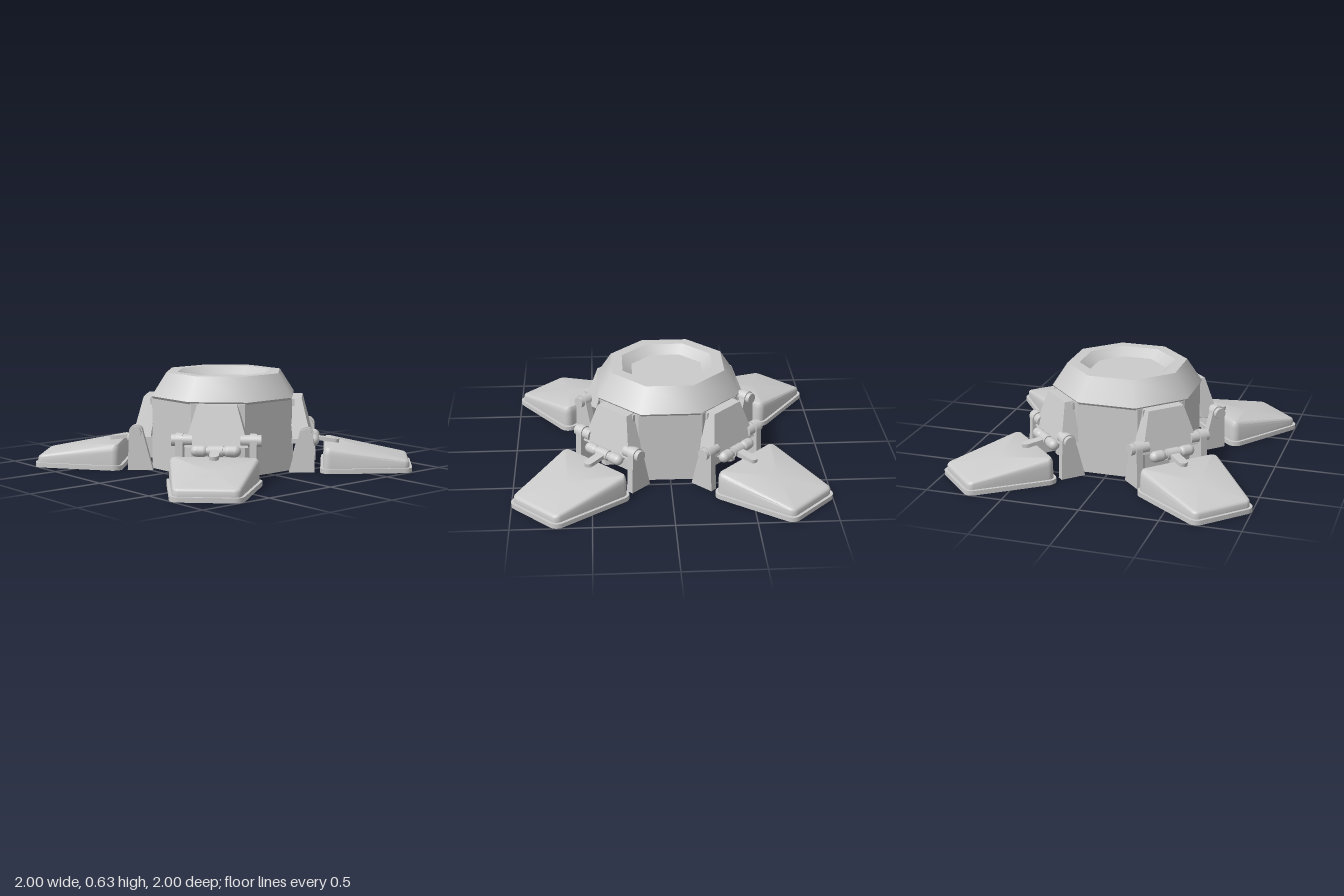
import * as THREE from 'three';
import { toCreasedNormals } from 'three/addons/utils/BufferGeometryUtils.js';

const material = new THREE.MeshStandardMaterial({ color: 0xcccccc });

function add(parent, name, geometry, x = 0, y = 0, z = 0) {
  const mesh = new THREE.Mesh(geometry, material);
  mesh.name = name;
  mesh.position.set(x, y, z);
  parent.add(mesh);
  return mesh;
}

// Eight-sided band between [apothem, height] points, flat sides facing the axes
function octagonBand(points) {
  const profile = points.map(([a, y]) => new THREE.Vector2(a / Math.cos(Math.PI / 8), y));
  return new THREE.LatheGeometry(profile, 8, Math.PI / 8);
}

// Box whose bottom and top rectangles differ: [xMin, xMax, halfWidth, y]
function taperedBox(bottom, top) {
  const geometry = new THREE.BoxGeometry(1, 1, 1);
  const p = geometry.attributes.position;
  for (let i = 0; i < p.count; i++) {
    const [x0, x1, w, y] = p.getY(i) < 0 ? bottom : top;
    p.setXYZ(i, p.getX(i) < 0 ? x0 : x1, y, Math.sign(p.getZ(i)) * w);
  }
  const flat = geometry.toNonIndexed();
  flat.computeVertexNormals();
  return flat;
}

function extrude(shape, depth) {
  return new THREE.ExtrudeGeometry(shape, { depth, bevelEnabled: false, curveSegments: 10 });
}

// Octagonal column with a shallow notch in each diagonal side
function bodyGeometry() {
  const points = [];
  const d = Math.SQRT1_2;
  for (let k = 0; k < 4; k++) {
    const angle = Math.PI / 4 + k * Math.PI / 2;
    for (const [u, v] of [[0.453, -0.17], [0.453, -0.13], [0.405, -0.09], [0.405, 0.09], [0.453, 0.13], [0.453, 0.17]]) {
      points.push(new THREE.Vector2(u, v).rotateAround(new THREE.Vector2(), angle));
    }
  }
  return extrude(new THREE.Shape(points), 0.465).rotateX(-Math.PI / 2);
}

// Rounded wedge foot: stacked outlines, each inset from the base outline
function footGeometry() {
  const side = Math.atan2(0.47, 0.075);
  const corners = [
    [1.17, 0.16, 0, side], [0.7, 0.235, side, Math.PI],
    [0.7, -0.235, Math.PI, 2 * Math.PI - side], [1.17, -0.16, -side, 0],
  ];
  const slope = (u) => 0.172 - 0.176 * (u - 0.66);
  const wall = (t) => (u) => 0.03 + (slope(u) - 0.03) * t;
  const levels = [
    [0, () => 0], [0, () => 0.03], [0.018, () => 0.03], [0.018, wall(0.65)],
    [0.022, wall(0.85)], [0.03, wall(0.96)], [0.042, wall(1)],
  ];
  const steps = 6;
  const n = corners.length * (steps + 1);
  const positions = [];
  const index = [];
  for (const [inset, height] of levels) {
    for (const [cu, cw, a0, a1] of corners) {
      for (let s = 0; s <= steps; s++) {
        const a = a0 + (a1 - a0) * s / steps;
        const u = cu + (0.06 - inset) * Math.cos(a);
        positions.push(u, height(u), cw + (0.06 - inset) * Math.sin(a));
      }
    }
  }
  const base = levels.length * n;
  positions.push(0.93, 0, 0, 0.93, slope(0.93), 0);
  for (let i = 0; i < n; i++) {
    const j = (i + 1) % n;
    for (let k = 0; k < levels.length - 1; k++) {
      const a = k * n;
      const b = a + n;
      index.push(a + i, b + i, a + j, a + j, b + i, b + j);
    }
    const top = (levels.length - 1) * n;
    index.push(base, i, j, base + 1, top + j, top + i);
  }
  const geometry = new THREE.BufferGeometry();
  geometry.setAttribute('position', new THREE.Float32BufferAttribute(positions, 3));
  geometry.setIndex(index);
  return toCreasedNormals(geometry, 0.7);
}

// Upright hinge plate with a rounded top
function bracketGeometry() {
  const shape = new THREE.Shape();
  shape.moveTo(0.44, 0);
  shape.lineTo(0.605, 0);
  shape.lineTo(0.595, 0.25);
  shape.absarc(0.55, 0.25, 0.045, 0, Math.PI, false);
  shape.closePath();
  return extrude(shape, 0.045).translate(0, 0, -0.0225);
}

// Rounded tongue lying on the foot
function tabGeometry() {
  const shape = new THREE.Shape();
  shape.moveTo(0, -0.03);
  shape.lineTo(0.13, -0.03);
  shape.absarc(0.13, 0, 0.03, -Math.PI / 2, Math.PI / 2, false);
  shape.lineTo(0, 0.03);
  shape.closePath();
  return extrude(shape, 0.025).rotateX(-Math.PI / 2);
}

// One leg pointing along +x
function createLeg() {
  const leg = new THREE.Group();
  leg.name = 'leg';
  add(leg, 'foot', footGeometry());
  add(leg, 'legPanel', taperedBox([0.46, 0.58, 0.2, 0.21], [0.43, 0.515, 0.125, 0.465]));
  add(leg, 'panelBacking', taperedBox([0.4, 0.47, 0.14, 0.25], [0.4, 0.47, 0.14, 0.46]));
  add(leg, 'hipLink', new THREE.BoxGeometry(0.13, 0.1, 0.16), 0.475, 0.21, 0);

  // Ankle hinge
  const axle = new THREE.CylinderGeometry(0.028, 0.028, 0.22, 16).rotateX(Math.PI / 2);
  add(leg, 'ankleAxle', axle, 0.595, 0.19, 0);
  const knuckle = new THREE.CylinderGeometry(0.035, 0.035, 0.09, 16).rotateX(Math.PI / 2);
  add(leg, 'ankleKnuckle', knuckle, 0.595, 0.19, 0);
  const tab = add(leg, 'ankleTab', tabGeometry(), 0.6, 0.178, 0);
  tab.rotation.z = -0.12;

  for (const s of [-1, 1]) {
    const cap = new THREE.CapsuleGeometry(0.036, 0.04, 6, 16).rotateX(Math.PI / 2);
    add(leg, 'ankleCap', cap, 0.595, 0.19, s * 0.1);
    add(leg, 'ankleLug', new THREE.BoxGeometry(0.07, 0.05, 0.04), 0.56, 0.195, s * 0.1);
    add(leg, 'hingeBracket', bracketGeometry(), 0, 0, s * 0.23);
    const pin = new THREE.CylinderGeometry(0.037, 0.037, 0.13, 20).rotateX(Math.PI / 2);
    add(leg, 'hingePin', pin, 0.55, 0.25, s * 0.215);
  }
  return leg;
}

export function createModel() {
  const model = new THREE.Group();
  model.name = 'fourLeggedPlatform';

  // Central body and recessed cap
  add(model, 'body', bodyGeometry());
  const cap = new THREE.Group();
  cap.name = 'cap';
  model.add(cap);
  add(cap, 'capUnderside', octagonBand([[0.001, 0.46], [0.445, 0.46]]));
  add(cap, 'capLip', octagonBand([[0.445, 0.46], [0.455, 0.475]]));
  add(cap, 'capSlope', octagonBand([[0.455, 0.475], [0.362, 0.627]]));
  add(cap, 'capRim', octagonBand([[0.362, 0.627], [0.29, 0.627]]));
  add(cap, 'recessWall', octagonBand([[0.29, 0.627], [0.228, 0.575]]));
  add(cap, 'recessFloor', octagonBand([[0.228, 0.575], [0, 0.575]]));

  // Four legs on the diagonals
  for (let k = 0; k < 4; k++) {
    const leg = createLeg();
    leg.rotation.y = Math.PI / 4 + k * Math.PI / 2;
    model.add(leg);
  }
  return model;
}
